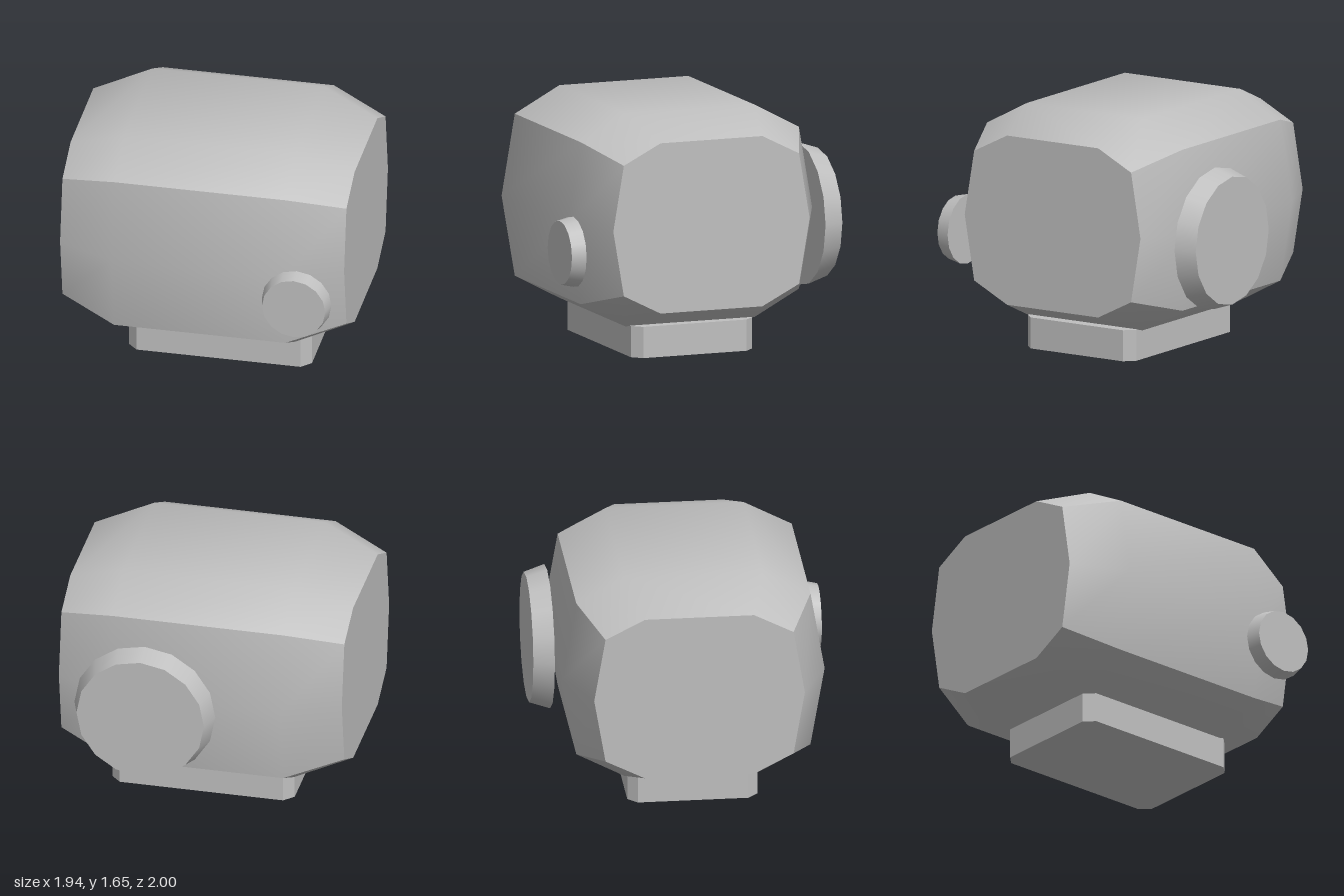
import * as THREE from 'three';
import { toCreasedNormals } from 'three/addons/utils/BufferGeometryUtils.js';

const grey = new THREE.MeshStandardMaterial({ color: 0xbfbfbf });
grey.name = 'grey';

// Ten-sided cross-section [z, y], mirrored about its middle height and about zc
function section(zc, yc, topHalf, topH, cornerHalf, cornerH, midHalf) {
  const up = [[midHalf, 0], [cornerHalf, cornerH], [topHalf, topH]];
  const upper = [...up, ...up.slice().reverse().map(([z, h]) => [-z, h])];
  const lower = upper.slice(1, 5).reverse().map(([z, h]) => [z, -h]);
  return [...upper, ...lower].map(([z, h]) => [zc + z, yc + h]);
}

// Loft the sections along x and close both ends
function loft(rings) {
  const pos = [];
  const n = rings[0].loop.length;
  const put = (...corners) => corners.forEach(([r, j]) => {
    const [z, y] = rings[r].loop[j % n];
    pos.push(rings[r].x, y, z);
  });
  const last = rings.length - 1;
  for (let r = 0; r < last; r++) {
    for (let j = 0; j < n; j++) {
      put([r, j], [r + 1, j], [r + 1, j + 1]);
      put([r, j], [r + 1, j + 1], [r, j + 1]);
    }
  }
  for (let j = 1; j < n - 1; j++) {
    put([0, 0], [0, j], [0, j + 1]);
    put([last, 0], [last, j + 1], [last, j]);
  }
  const geo = new THREE.BufferGeometry();
  geo.setAttribute('position', new THREE.Float32BufferAttribute(pos, 3));
  return toCreasedNormals(geo, 0.65);
}

export function createModel() {
  const model = new THREE.Group();
  model.name = 'model';
  const add = (name, geo, x = 0, y = 0, z = 0) => {
    const mesh = new THREE.Mesh(geo, grey);
    mesh.name = name;
    mesh.position.set(x, y, z);
    model.add(mesh);
  };

  // Faceted body, narrowing at both ends
  const wide = section(0.023, 0.928, 0.465, 0.722, 0.787, 0.55, 0.882);
  const narrow = section(0.023, 0.928, 0.367, 0.578, 0.632, 0.443, 0.708);
  add('body', loft([
    { x: -0.97, loop: narrow }, { x: -0.585, loop: wide },
    { x: 0.585, loop: wide }, { x: 0.97, loop: narrow },
  ]));

  // Foot block with chamfered corners
  const w = 0.625, d = 0.437, c = 0.065;
  const outline = new THREE.Shape([
    [w, -d + c], [w, d - c], [w - c, d], [-w + c, d],
    [-w, d - c], [-w, -d + c], [-w + c, -d], [w - c, -d],
  ].map(([x, y]) => new THREE.Vector2(x, y)));
  const foot = new THREE.ExtrudeGeometry(outline, { depth: 0.212, bevelEnabled: false });
  foot.rotateX(-Math.PI / 2);
  add('foot', foot, 0.055, 0, 0.024);

  // Tapered round knob on the front and larger disc on the back
  const knob = new THREE.CylinderGeometry(0.216, 0.238, 0.097, 16).rotateX(Math.PI / 2);
  add('frontKnob', knob, 0.682, 0.757, 0.9515);
  const disc = new THREE.CylinderGeometry(0.437, 0.483, 0.14, 16).rotateX(-Math.PI / 2);
  add('backDisc', disc, 0.34, 0.842, -0.93);

  return model;
}
